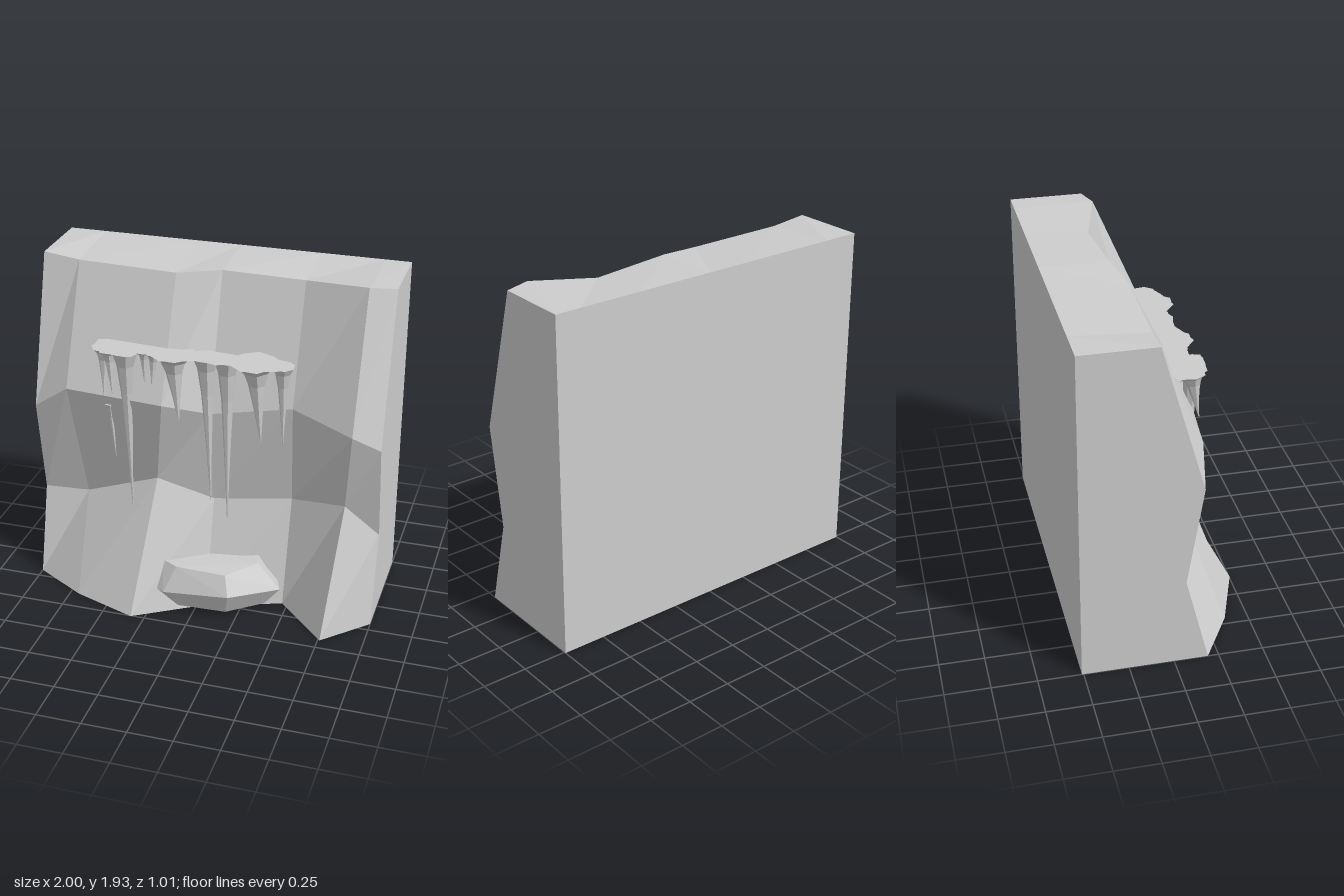
import * as THREE from 'three';

const stone = new THREE.MeshStandardMaterial({ color: 0xcccccc, flatShading: true, side: THREE.DoubleSide });
stone.name = 'pale grey stone';

// Joins rings of points into a closed, faceted body with capped ends
function loft(rings) {
  const out = [];
  const tri = (...pts) => pts.forEach((p) => out.push(...p));
  const n = rings[0].length;
  for (let i = 0; i < rings.length - 1; i++) {
    for (let j = 0; j < n; j++) {
      const k = (j + 1) % n;
      const [a, b, c, d] = [rings[i][j], rings[i + 1][j], rings[i + 1][k], rings[i][k]];
      tri(a, b, c);
      tri(a, c, d);
    }
  }
  const first = rings[0], last = rings[rings.length - 1];
  for (let j = 1; j < n - 1; j++) {
    tri(first[0], first[j], first[j + 1]);
    tri(last[0], last[j + 1], last[j]);
  }
  const geometry = new THREE.BufferGeometry();
  geometry.setAttribute('position', new THREE.Float32BufferAttribute(out, 3));
  geometry.computeVertexNormals();
  return geometry;
}

function part(name, geometry) {
  const mesh = new THREE.Mesh(geometry, stone);
  mesh.name = name;
  return mesh;
}

// Wall: each column lists its front points from the foot to the top
function rockWall() {
  const columns = [
    [[-1, 0, 0.19], [-1, 0.515, 0.06], [-1, 1.085, 0.15], [-1, 1.93, -0.09]],
    [[-0.7, 0, 0.37], [-0.74, 0.515, 0.04], [-0.79, 1.235, 0.19], [-0.79, 1.905, -0.085]],
    [[-0.33, 0, 0.505], [-0.28, 0.715, 0.13], [-0.21, 1.235, 0.25], [-0.22, 1.895, -0.07]],
    [[0.05, 0, 0.27], [0.04, 0.6, 0.07], [0.03, 1.16, 0.12], [0.03, 1.92, -0.12]],
    [[0.47, 0, 0.13], [0.48, 0.63, 0], [0.49, 1.235, 0.08], [0.49, 1.9, -0.15]],
    [[0.76, 0, 0.43], [0.81, 0.7, 0.12], [0.86, 1.2, 0.265], [0.855, 1.935, -0.05]],
    [[1, 0, 0.19], [1, 0.515, 0.06], [1, 1.085, 0.15], [1, 1.93, -0.09]],
  ];
  return part('rockWall', loft(columns.map((front) => {
    const x = front[0][0];
    return [[x, 0, -0.51], ...front, [front[3][0], 1.93, -0.51]];
  })));
}

// Boulder at the foot of the wall
function boulder() {
  const bottom = [[0.38, 0.03, 0.2], [0.19, 0.03, 0.35], [-0.09, 0.03, 0.36], [-0.13, 0.035, 0.32], [-0.13, 0.03, 0.03], [0.3, 0.03, 0.03]];
  const middle = [[0.47, 0.14, 0.2], [0.22, 0.17, 0.415], [-0.16, 0.14, 0.415], [-0.23, 0.135, 0.37], [-0.23, 0.14, 0.03], [0.4, 0.15, 0.03]];
  const top = [[0.34, 0.295, 0.2], [0.19, 0.28, 0.36], [-0.1, 0.285, 0.355], [-0.2, 0.285, 0.3], [-0.2, 0.29, 0.03], [0.3, 0.3, 0.03]];
  return part('boulder', loft([bottom, middle, top]));
}

// Hanging spike with a flared root
function spike(tip, root, rx, rz) {
  const steps = [[0, 0.03], [0.35, 0.2], [0.75, 0.45], [0.92, 0.68], [1, 1]];
  return part('spike', loft(steps.map(([t, r]) => {
    const [cx, cy, cz] = tip.map((v, i) => v + (root[i] - v) * t);
    return Array.from({ length: 7 }, (_, j) => {
      const a = (j / 7) * Math.PI * 2 + 0.3;
      return [cx + Math.cos(a) * rx * r, cy, cz + Math.sin(a) * rz * r];
    });
  })));
}

export function createModel() {
  const model = new THREE.Group();
  model.name = 'rockWallWithSpikes';
  model.add(rockWall(), boulder());

  const spikes = new THREE.Group();
  spikes.name = 'hangingSpikes';
  const Y = 1.52;
  const list = [
    [[-0.55, 1.25, 0.23], [-0.555, Y, 0.18], 0.075, 0.08],
    [[-0.5, 1.26, 0.23], [-0.52, Y, 0.21], 0.06, 0.07],
    [[-0.41, 0.54, 0.19], [-0.425, Y, 0.22], 0.075, 0.07],
    [[-0.515, 0.83, 0.16], [-0.535, 1.18, 0.18], 0.03, 0.04],
    [[-0.325, 1.34, 0.19], [-0.33, Y, 0.17], 0.05, 0.06],
    [[-0.28, 1.33, 0.2], [-0.27, Y, 0.18], 0.05, 0.06],
    [[-0.12, 1.15, 0.22], [-0.16, Y, 0.19], 0.11, 0.1],
    [[0.05, 0.65, 0.17], [0.02, Y, 0.16], 0.075, 0.08],
    [[0.15, 0.55, 0.18], [0.14, Y, 0.16], 0.075, 0.08],
    [[0.34, 1.07, 0.19], [0.3, Y, 0.17], 0.11, 0.13],
    [[0.46, 1.05, 0.17], [0.45, Y, 0.16], 0.065, 0.07],
  ];
  list.forEach((s) => spikes.add(spike(...s)));

  // Flat ragged sheet joining the roots, as x and z pairs
  const outline = [
    [-0.62, 0.2], [-0.56, 0.25], [-0.48, 0.28], [-0.37, 0.28], [-0.35, 0.21], [-0.28, 0.23], [-0.2, 0.29],
    [-0.07, 0.25], [0, 0.22], [0.1, 0.25], [0.16, 0.22], [0.25, 0.29], [0.4, 0.25], [0.49, 0.21],
    [0.51, 0.16], [0.48, 0.1], [0.4, 0.08], [0.37, 0.05], [0.28, 0.01], [0.2, 0.06], [0.18, 0.09],
    [0, 0.07], [-0.06, 0.1], [-0.08, 0.08], [-0.2, 0.11], [-0.58, 0.08], [-0.62, 0.1],
  ];
  const shape = new THREE.Shape(outline.map(([x, z]) => new THREE.Vector2(x, -z)));
  const sheet = part('spikeRootSheet', new THREE.ShapeGeometry(shape));
  sheet.rotation.x = -Math.PI / 2;
  sheet.position.y = Y + 0.001;
  spikes.add(sheet);
  model.add(spikes);
  return model;
}
